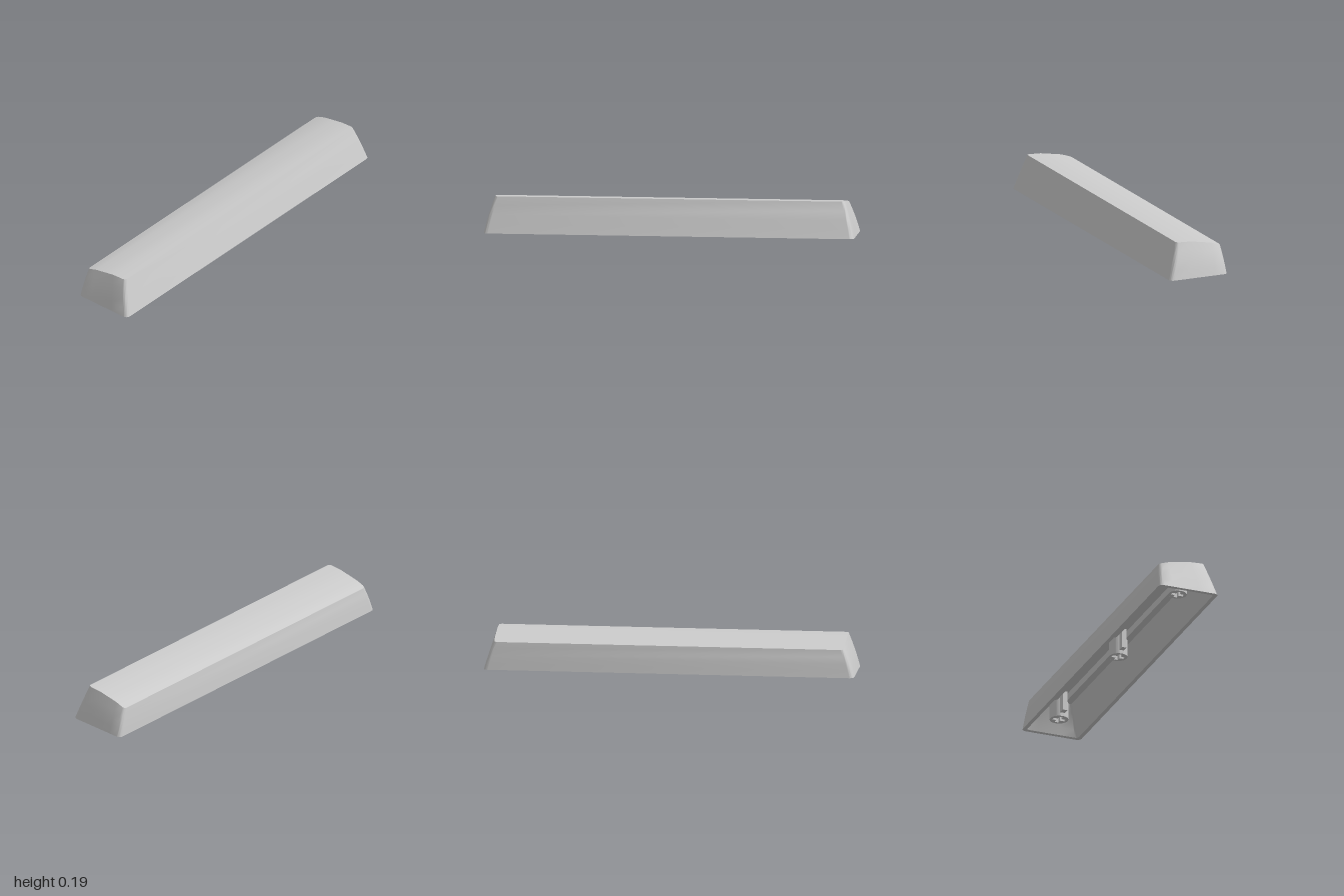
import * as THREE from 'three';
import { toCreasedNormals } from 'three/addons/utils/BufferGeometryUtils.js';

const WALL = 0.022, CEILING = 0.025;
const TOP = [[0.11, 0.194], [0.025, 0.19], [-0.095, 0.169], [-0.153, 0.15]]; // z, y of the crowned top

function topY(z) {
  let i = 0;
  while (i < TOP.length - 2 && z < TOP[i + 1][0]) i++;
  const [[z0, y0], [z1, y1]] = [TOP[i], TOP[i + 1]];
  return y0 + (y1 - y0) * (z - z0) / (z1 - z0);
}

// Right half of a rounded rectangle at level t (0 rim, 1 top), front to back
function halfRing(t, inset) {
  const bulge = t * (0.75 + 0.25 * t);
  const X = 1 - 0.055 * bulge - inset;
  const front = 0.17 - 0.06 * t - inset, back = -0.17 + 0.017 * bulge + inset;
  const r = 0.024 - 0.006 * t - inset * 0.4;
  const pts = [];
  for (let i = 0; i <= 6; i++) {
    const a = i / 6 * Math.PI / 2;
    pts.push([X - r + r * Math.sin(a), front - r + r * Math.cos(a)]);
  }
  for (const f of [0.32, 0.55, 0.78]) pts.push([X, front + (back - front) * f]);
  for (let i = 0; i <= 6; i++) {
    const a = i / 6 * Math.PI / 2;
    pts.push([X - r + r * Math.cos(a), back + r - r * Math.sin(a)]);
  }
  return pts;
}

// Full closed ring, its height following the crowned top
function ring(t, inset, drop) {
  const top = halfRing(1, inset);
  const half = halfRing(t, inset).map(([x, z], i) => [x, t * (topY(top[i][1]) - drop), z]);
  return [...half, ...half.map(([x, y, z]) => [-x, y, z]).reverse()];
}

// Hollow shell: inner wall downwards, rim, outer wall upwards, then both caps
function shellGeometry() {
  const levels = [0, 0.25, 0.5, 0.75, 1];
  const rings = [
    ...[...levels].reverse().map(t => ring(t, WALL, CEILING)),
    ...levels.map(t => ring(t, 0, 0)),
  ];
  const n = rings[0].length, index = [];
  const quad = (a, b, c, d) => index.push(a, b, c, a, c, d);
  for (let i = 0; i < rings.length - 1; i++) {
    for (let j = 0; j < n; j++) {
      const k = (j + 1) % n;
      quad(i * n + j, i * n + k, (i + 1) * n + k, (i + 1) * n + j);
    }
  }
  const last = (rings.length - 1) * n;
  for (let j = 0; j < n / 2 - 1; j++) {
    quad(last + j, last + j + 1, last + n - 2 - j, last + n - 1 - j);
    quad(n - 1 - j, n - 2 - j, j + 1, j);
  }
  const g = new THREE.BufferGeometry();
  g.setAttribute('position', new THREE.Float32BufferAttribute(rings.flat(2), 3));
  g.setIndex(index);
  return toCreasedNormals(g, 0.5);
}

// Round post with a cross-shaped socket
function stemGeometry(height) {
  const shape = new THREE.Shape().absarc(0, 0, 0.05, 0, Math.PI * 2);
  const l = 0.035, w = 0.011;
  const cross = [[l, -w], [l, w], [w, w], [w, l], [-w, l], [-w, w],
    [-l, w], [-l, -w], [-w, -w], [-w, -l], [w, -l], [w, -w]];
  shape.holes.push(new THREE.Path(cross.map(p => new THREE.Vector2(...p))));
  const g = new THREE.ExtrudeGeometry(shape, { depth: height, bevelEnabled: false, curveSegments: 32 });
  g.rotateX(-Math.PI / 2);
  return toCreasedNormals(g, 0.5);
}

export function createModel() {
  const model = new THREE.Group();
  const material = new THREE.MeshStandardMaterial({ color: 0xcccccc });
  const add = (name, geometry, x, y, z) => {
    const mesh = new THREE.Mesh(geometry, material);
    mesh.name = name;
    mesh.position.set(x, y, z);
    model.add(mesh);
  };

  add('keyShell', shellGeometry(), 0, 0, 0);

  // Three mounting stems, each braced by a fin on both sides
  const stem = stemGeometry(0.135);
  const fin = new THREE.BoxGeometry(0.045, 0.115, 0.026);
  for (const x of [-0.855, 0, 0.855]) {
    add('stem', stem, x, 0.03, -0.01);
    for (const s of [-1, 1]) {
      if (Math.abs(x + s * 0.065) < 0.9) add('stemFin', fin, x + s * 0.065, 0.1075, -0.01);
    }
  }

  // Stiffening ribs under the top
  for (const z of [-0.045, 0.025]) {
    add('stiffeningRib', new THREE.BoxGeometry(1.82, 0.04, 0.018), 0, 0.145, z);
  }
  return model;
}
